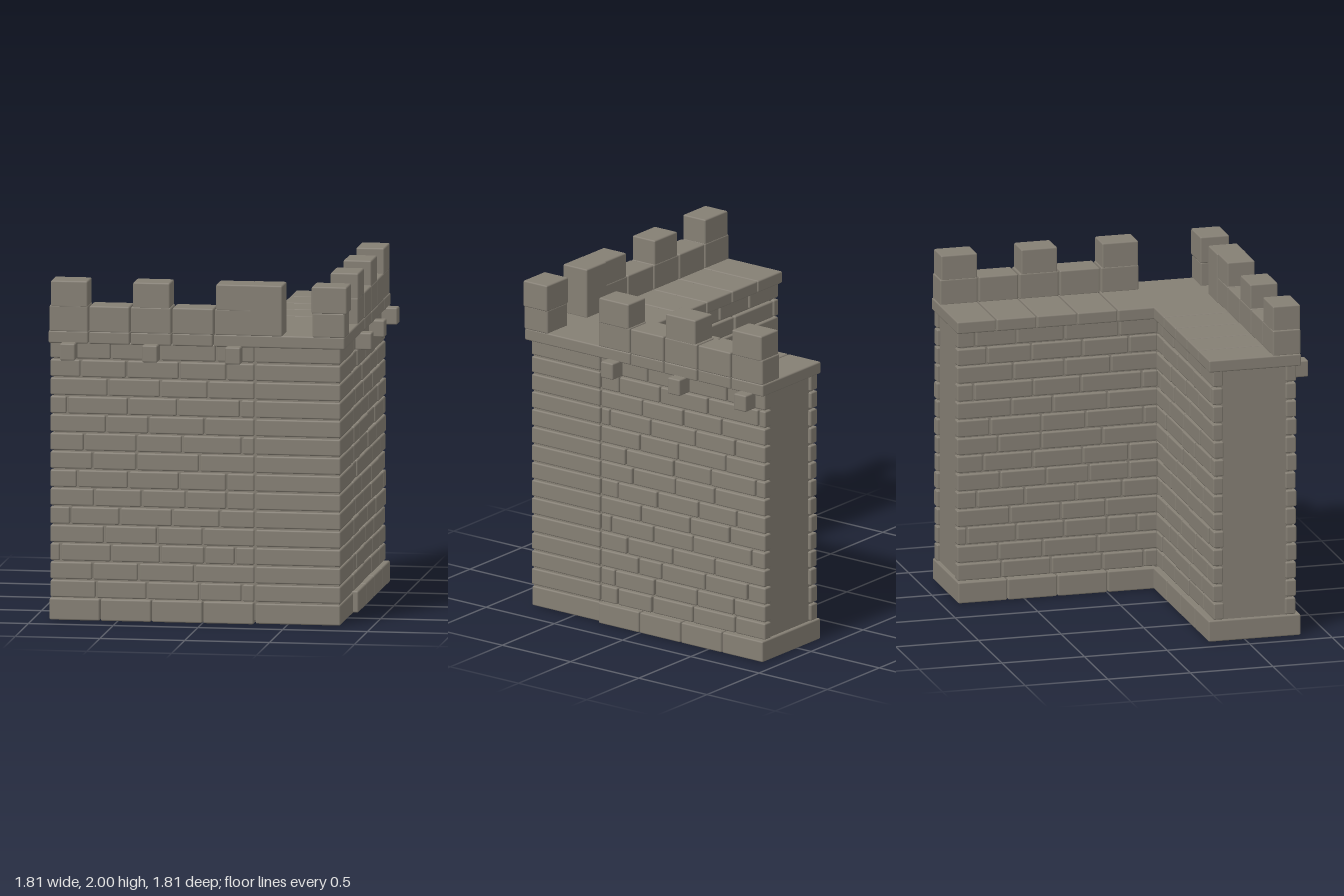
import * as THREE from 'three';
import { RoundedBoxGeometry } from 'three/addons/geometries/RoundedBoxGeometry.js';

export function createModel() {
  const model = new THREE.Group();
  model.name = 'castleWallCorner';
  const stone = new THREE.MeshStandardMaterial({ color: 0x857f74 });
  stone.name = 'stone';

  let seed = 11;
  const rand = () => (seed = (seed * 16807) % 2147483647) / 2147483647;

  function group(name, parent = model) {
    const g = new THREE.Group();
    g.name = name;
    parent.add(g);
    return g;
  }

  // Stone block given by its min and max corners, with small worn edges
  function block(parent, name, x0, x1, y0, y1, z0, z1, r = 0.009) {
    const size = [x1 - x0, y1 - y0, z1 - z0];
    const geo = r ? new RoundedBoxGeometry(...size, 1, r) : new THREE.BoxGeometry(...size);
    const mesh = new THREE.Mesh(geo, stone);
    mesh.name = name;
    mesh.position.set((x0 + x1) / 2, (y0 + y1) / 2, (z0 + z1) / 2);
    parent.add(mesh);
    return mesh;
  }

  // Block on either wall: u runs along the wall, v is the distance outward
  function wallBlock(parent, name, side, u0, u1, y0, y1, v0, v1, r) {
    return side
      ? block(parent, name, v0, v1, y0, y1, u0, u1, r)
      : block(parent, name, u0, u1, y0, y1, v0, v1, r);
  }

  const BASE = 0.125, PITCH = 0.1085, ROWS = 14, GAP = 0.005;
  const rowY = (i) => BASE + i * PITCH;

  // Joint positions along each outer face, one list per course
  const frontCuts = [
    [-0.63, -0.33, -0.02, 0.23], [-0.65, -0.38, -0.05], [-0.84, -0.54, -0.25, 0.01, 0.19],
    [-0.58, -0.27, 0], [-0.78, -0.49, -0.18, 0.1], [-0.64, -0.36, -0.1, 0.14],
    [-0.74, -0.44, -0.14, 0.14], [-0.65, -0.39, -0.02], [-0.7, -0.39, -0.12, 0.23],
    [-0.57, -0.32, 0.01], [-0.8, -0.44, -0.15, 0.22], [-0.56, -0.25, 0.03],
    [-0.72, -0.45, -0.14, 0.14], [-0.79, -0.54, -0.25, 0.08],
  ];
  const sideCuts = [
    [0.18, -0.07, -0.37, -0.68], [0.2, -0.09, -0.4, -0.67], [0.03, -0.14, -0.46, -0.77],
    [0.11, -0.22, -0.53], [0.23, -0.08, -0.37, -0.8], [0.01, -0.35, -0.64],
    [0.18, -0.11, -0.41, -0.69], [0.07, -0.24, -0.53], [0.12, -0.23, -0.5, -0.83],
    [0.02, -0.26, -0.61], [0.24, -0.06, -0.39, -0.68], [0, -0.3, -0.58],
    [0.17, -0.13, -0.48, -0.85], [0.2, -0.04, -0.34, -0.62],
  ];

  // Brick courses on one face of a wall
  function courses(parent, name, side, cutRows, v0, v1, end) {
    const g = group(name, parent);
    for (let i = 0; i < ROWS; i++) {
      const edges = [-0.905, ...cutRows[i].slice().sort((a, b) => a - b), end];
      for (let k = 0; k + 1 < edges.length; k++) {
        const j = (rand() - 0.5) * 0.008;
        wallBlock(g, 'brick', side, edges[k] + GAP, edges[k + 1] - GAP,
          rowY(i) + GAP, rowY(i + 1) - GAP + 0.001, v0 + j, v1 + j);
      }
    }
  }

  const capCuts = [-0.91, -0.67, -0.425, -0.18, 0.065];
  const parapetCuts = [-0.905, -0.67, -0.425, -0.18, 0.07, 0.305];

  for (const side of [0, 1]) {
    const wall = group(side ? 'sideWall' : 'frontWall');
    // Mortar core, also the plain recessed panel at the open end
    wallBlock(wall, 'core', side, -0.88, 0.32, 0.02, 1.64, 0.33, 0.79, 0);
    courses(wall, 'outerBricks', side, side ? sideCuts : frontCuts, 0.75, 0.812, 0.307);
    // Inner face uses the other wall's pattern
    courses(wall, 'innerBricks', side, side ? frontCuts : sideCuts, 0.308, 0.37, 0.318);

    // Projecting base stones
    for (let k = 0; k < 4; k++) {
      const u = -0.905 + k * 0.3025;
      wallBlock(wall, 'baseStone', side, u + 0.003, u + 0.2995, 0, BASE + 0.002, 0.28, 0.838);
    }
    // Walkway slabs
    for (let k = 0; k < 4; k++) {
      wallBlock(wall, 'walkwaySlab', side, capCuts[k] + 0.003, capCuts[k + 1] - 0.003,
        1.632, 1.705, 0.282, 0.838 + rand() * 0.006);
    }
    // Low parapet stones
    for (let k = 0; k < 5; k++) {
      wallBlock(wall, 'parapetStone', side, parapetCuts[k] + 0.004, parapetCuts[k + 1] - 0.004,
        1.7, 1.855, 0.67, 0.836 + rand() * 0.006);
    }
    // Merlons
    for (const u of [-0.785, -0.3, 0.19]) {
      wallBlock(wall, 'merlon', side, u - 0.109, u + 0.109, 1.845, 2, 0.672, 0.838);
    }
    // Projecting corbels
    for (const u of [-0.785, -0.3, 0.19]) {
      wallBlock(wall, 'corbel', side, u - 0.045, u + 0.045, 1.54, 1.64, 0.78, 0.905);
    }
  }

  // Corner pier of full-width blocks
  const corner = group('cornerPier');
  block(corner, 'cornerCore', 0.32, 0.8, 0.02, 1.64, 0.32, 0.8, 0);
  block(corner, 'cornerBase', 0.31, 0.81, 0, BASE - 0.005, 0.31, 0.81);
  for (let i = 0; i < ROWS; i++) {
    block(corner, 'cornerBlock', 0.312, 0.812, rowY(i) + GAP, rowY(i + 1) - GAP, 0.312, 0.812);
  }

  // L-shaped walkway slab over the corner
  block(corner, 'cornerSlab', 0.282, 0.84, 1.632, 1.705, 0.068, 0.84);
  block(corner, 'cornerSlabArm', 0.068, 0.31, 1.632, 1.705, 0.282, 0.84);

  // Tall corner merlon, and the tall stone that doubles the front merlon
  block(corner, 'cornerMerlonBase', 0.65, 0.842, 1.7, 1.845, 0.67, 0.842);
  block(corner, 'cornerMerlonTop', 0.645, 0.853, 1.84, 2, 0.667, 0.842);
  block(corner, 'frontTallMerlon', 0.28, 0.472, 1.7, 2, 0.664, 0.84);

  return model;
}
